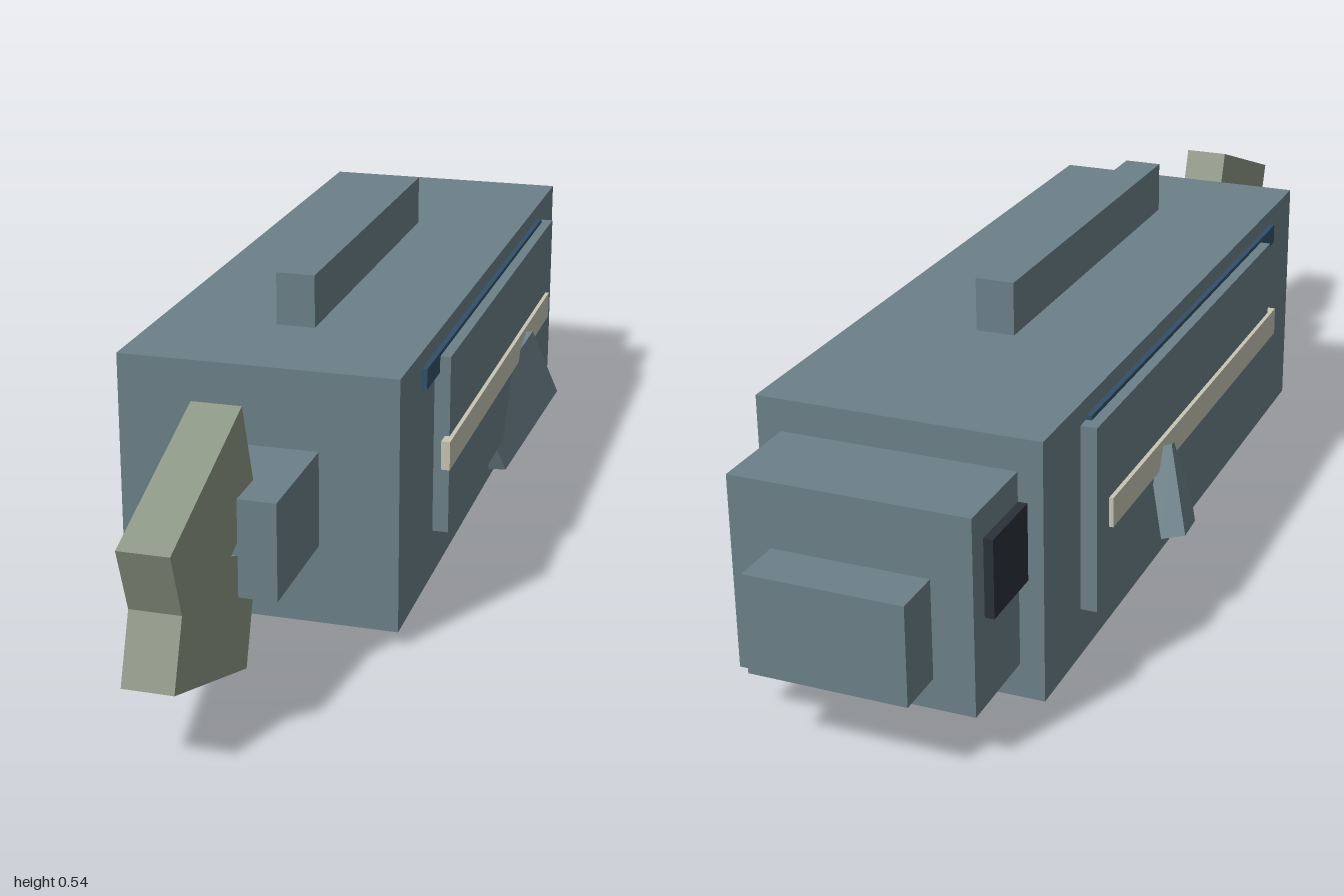
import * as THREE from 'three';

const mat = (name, color) => {
  const m = new THREE.MeshStandardMaterial({ color });
  m.name = name;
  return m;
};

export function createModel() {
  const slate = mat('slate', 0x6c8089);
  const sage = mat('sage', 0x8d9785);
  const cream = mat('cream', 0xc7c5b4);
  const blue = mat('blue', 0x335068);
  const black = mat('charcoal', 0x2b3139);

  const model = new THREE.Group();
  model.name = 'blockFish';

  const add = (name, geometry, material) => {
    const mesh = new THREE.Mesh(geometry, material);
    mesh.name = name;
    model.add(mesh);
    return mesh;
  };
  // Box given by its extents on each axis
  const box = (name, material, [x0, x1], [y0, y1], [z0, z1]) => {
    const mesh = add(name, new THREE.BoxGeometry(Math.abs(x1 - x0), y1 - y0, z1 - z0), material);
    mesh.position.set((x0 + x1) / 2, (y0 + y1) / 2, (z0 + z1) / 2);
    return mesh;
  };

  // Central blocks
  box('body', slate, [-0.233, 0.233], [0.025, 0.453], [-0.757, 0.512]);
  box('belly', cream, [-0.21, 0.21], [0, 0.03], [-0.687, 0.358]);
  box('dorsalFin', slate, [-0.033, 0.033], [0.44, 0.543], [-0.395, 0.303]);
  box('head', slate, [-0.193, 0.193], [0.082, 0.4], [-0.917, -0.75]);
  box('snout', slate, [-0.127, 0.127], [0.132, 0.293], [-1, -0.91]);
  box('tailBase', slate, [-0.102, 0.102], [0.16, 0.32], [0.5, 0.727]);

  // Forked tail, outlined in (z, y) and extruded across x
  const outline = [
    [1, 0.345], [0.695, 0.455], [0.637, 0.285], [0.755, 0.24],
    [0.637, 0.195], [0.695, 0.025], [1, 0.135], [0.962, 0.24],
  ].map(([z, y]) => new THREE.Vector2(-z, y));
  const tail = new THREE.ExtrudeGeometry(new THREE.Shape(outline), { depth: 0.08, bevelEnabled: false });
  tail.translate(0, 0, -0.04).rotateY(Math.PI / 2);
  add('tailFin', tail, sage);

  for (const s of [1, -1]) {
    const side = s > 0 ? 'left' : 'right';
    // Flank details
    box(side + 'FlankPanel', slate, [s * 0.22, s * 0.26], [0.107, 0.418], [-0.612, 0.287]);
    box(side + 'FlankStripe', cream, [s * 0.252, s * 0.267], [0.23, 0.28], [-0.56, 0.313]);
    box(side + 'BlueStrip', blue, [s * 0.225, s * 0.242], [0.39, 0.425], [-0.588, 0.375]);
    box(side + 'Eye', black, [s * 0.18, s * 0.208], [0.226, 0.352], [-0.88, -0.755]);

    // Pectoral fin: a thin slab swept out from the flank
    const u = new THREE.Vector3(0.043, -0.135, -0.05);
    const v = new THREE.Vector3(-0.055, -0.087, 0.22);
    const w = u.clone().cross(v).setLength(0.04);
    const centre = new THREE.Vector3(0.323, 0.137, -0.375)
      .addScaledVector(u, -0.5).addScaledVector(v, 0.5).addScaledVector(w, 0.5);
    for (const p of [u, v, w, centre]) p.x *= s;
    const basis = new THREE.Matrix4().makeBasis(w.multiplyScalar(s), u, v).setPosition(centre);
    add(side + 'PectoralFin', new THREE.BoxGeometry(1, 1, 1).applyMatrix4(basis), slate);
  }
  return model;
}
